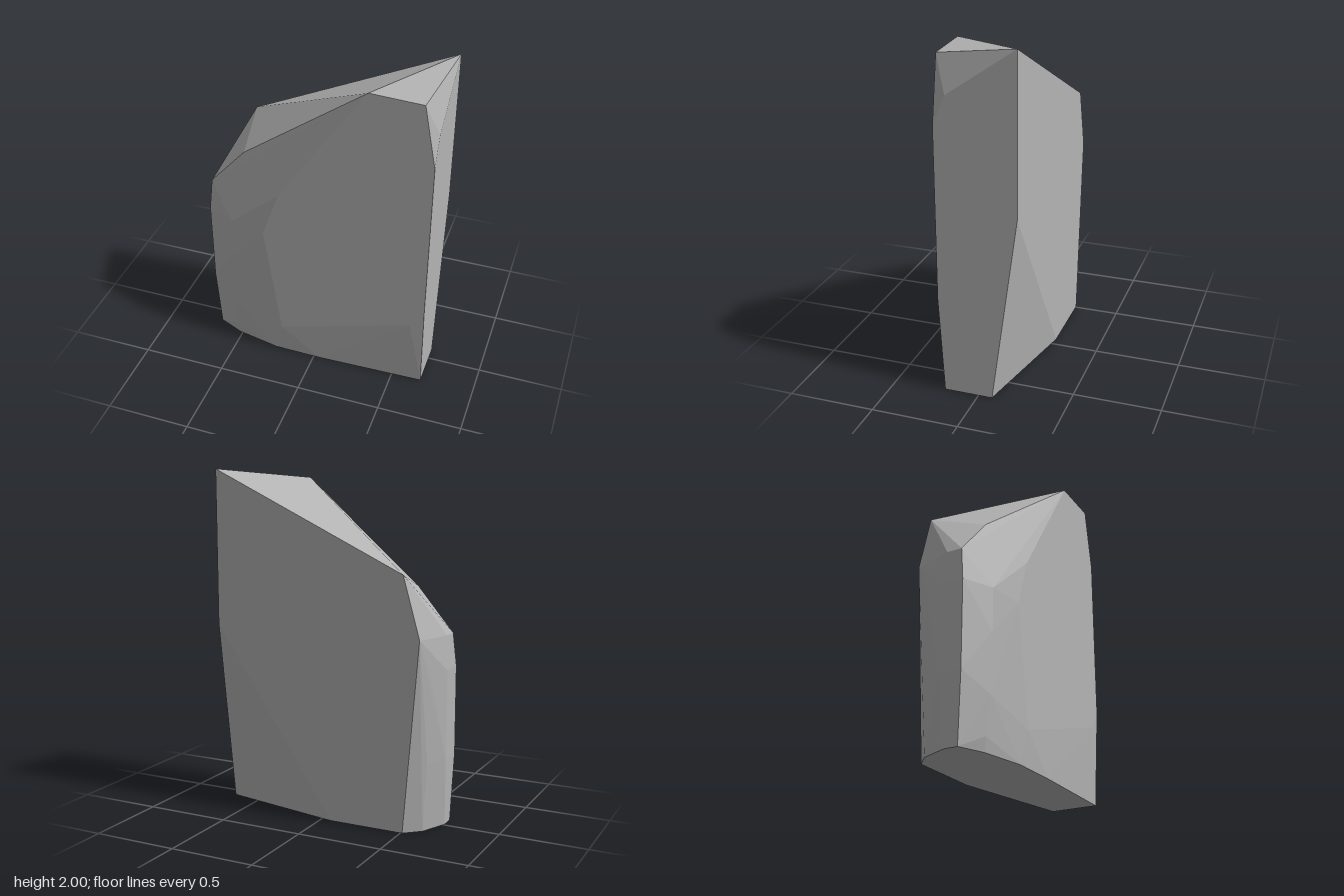
import * as THREE from 'three';
import { ConvexGeometry } from 'three/addons/geometries/ConvexGeometry.js';

export function createModel() {
  const group = new THREE.Group();
  group.name = 'standingRock';
  const stone = new THREE.MeshStandardMaterial({ color: 0xb4b4b4 });
  stone.name = 'grey stone';

  const points = [];
  const add = (...list) => list.forEach((p) => points.push(new THREE.Vector3(...p)));

  // Flat back, with its lower corner cut away
  add([0.68, 2, -0.23], [-0.5, 1.45, -0.23], [-0.6, 1.1, -0.23],
    [0.68, 1.1, -0.23], [-0.06, 0, -0.23], [-0.51, 0, -0.23]);

  // Flat front
  add([0.31, 1.945, 0.23], [0.61, 1.93, 0.23], [0.68, 1.56, 0.23], [0.68, 0.56, 0.23],
    [0.6, 0.45, 0.23], [-0.2, 0.2, 0.23], [-0.3, 0.9, 0.23], [-0.2, 1.19, 0.23]);

  // Chipped upper corners
  add([0.68, 1.73, 0.16], [-0.45, 1.35, 0.105], [-0.67, 1.1, 0.09], [-0.67, 1.1, 0]);

  // Worn narrow side
  for (const y of [0.91, 0.4]) {
    add([-0.685, y, 0.11], [-0.685, y, -0.03]);
  }
  add([-0.635, 0.9, -0.15], [-0.622, 0.4, -0.15]);
  add([-0.51, 0.91, 0.193], [-0.52, 0.65, 0.196], [-0.52, 0.3, 0.19], [-0.53, 0.08, 0.168]);

  // Outline of the base
  add([0.68, 0, -0.08], [0.68, 0, 0.2], [0.04, 0, 0.215], [-0.25, 0, 0.21],
    [-0.52, 0, 0.155], [-0.67, 0, 0.09], [-0.67, 0, 0.01], [-0.6, 0, -0.15]);

  const rock = new THREE.Mesh(new ConvexGeometry(points), stone);
  rock.name = 'rock';
  group.add(rock);
  return group;
}
